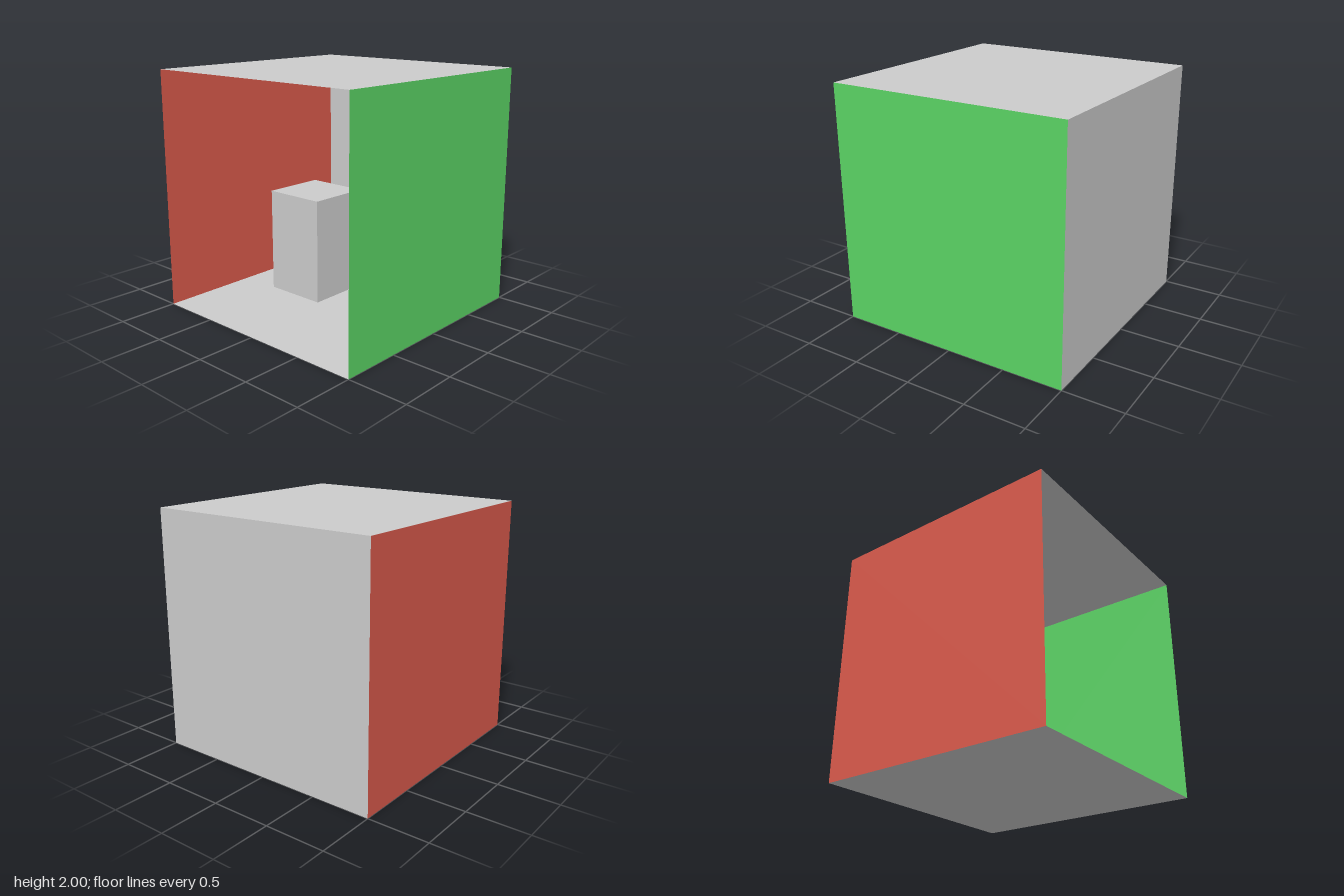
import * as THREE from 'three';

const SIZE = 2;
const HALF = SIZE / 2;

export function createModel() {
  const model = new THREE.Group();
  model.name = 'openRoom';

  const panelMaterial = (color) =>
    new THREE.MeshStandardMaterial({ color, side: THREE.DoubleSide });
  const grey = panelMaterial(0xcccccc);
  const red = panelMaterial(0xdb5a4c);
  const green = panelMaterial(0x5ad364);

  // Thin square panels facing into the room; the front stays open
  const panelGeometry = new THREE.PlaneGeometry(SIZE, SIZE);
  const panels = [
    ['floor', grey, [0, 0, 0], [-Math.PI / 2, 0, 0]],
    ['ceiling', grey, [0, SIZE, 0], [Math.PI / 2, 0, 0]],
    ['backWall', grey, [0, HALF, -HALF], [0, 0, 0]],
    ['rightWall', red, [-HALF, HALF, 0], [0, Math.PI / 2, 0]],
    ['leftWall', green, [HALF, HALF, 0], [0, -Math.PI / 2, 0]],
  ];
  for (const [name, material, position, rotation] of panels) {
    const panel = new THREE.Mesh(panelGeometry, material);
    panel.name = name;
    panel.position.set(...position);
    panel.rotation.set(...rotation);
    model.add(panel);
  }

  // Block standing on the floor
  const block = new THREE.Mesh(
    new THREE.BoxGeometry(0.55, 0.9, 0.55),
    new THREE.MeshStandardMaterial({ color: 0xcccccc })
  );
  block.name = 'block';
  block.position.set(-0.375, 0.45, -0.125);
  model.add(block);

  return model;
}
